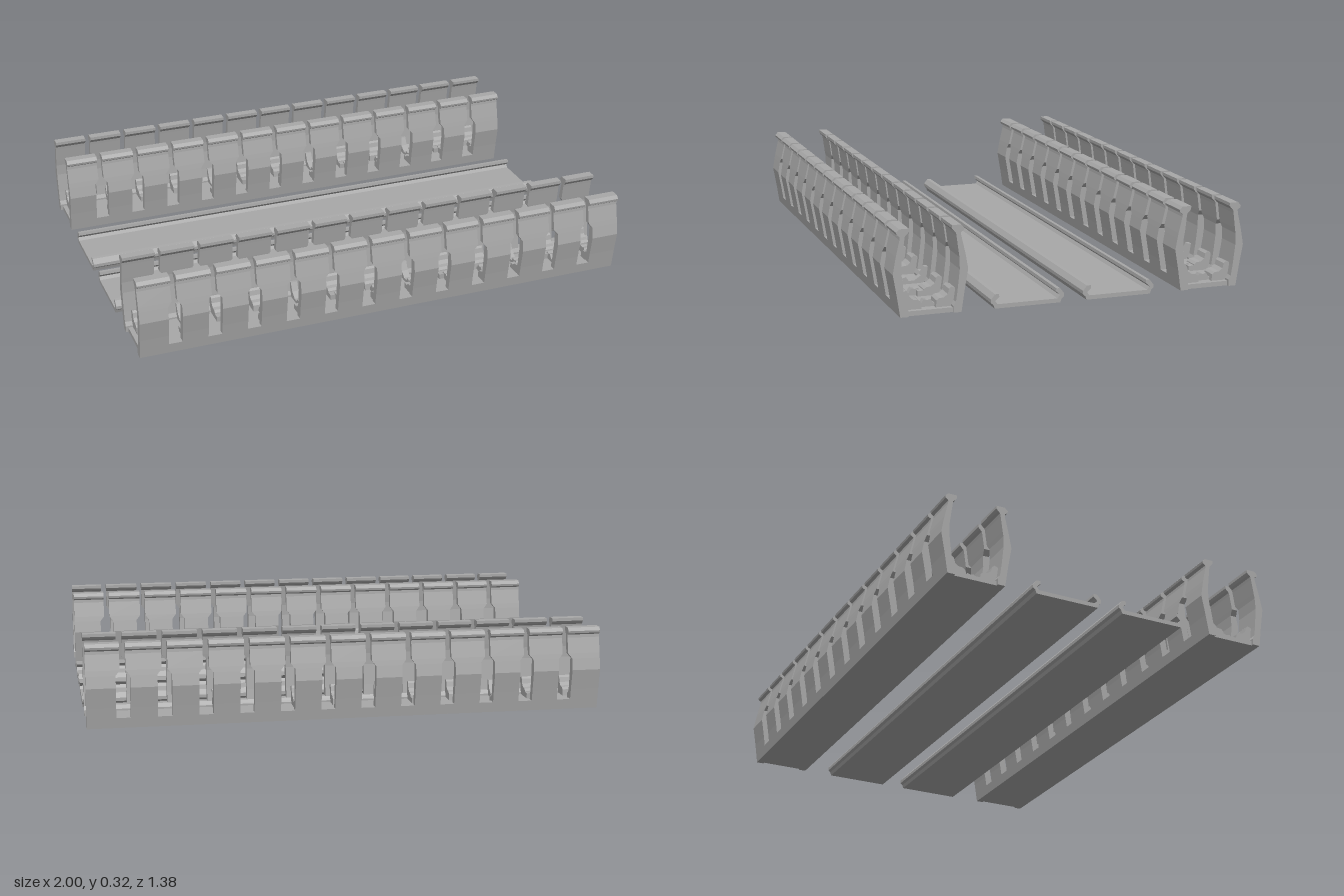
import * as THREE from 'three';

const PITCH = 0.1565, FINGERS = 13;

// Extrudes a [z, y] profile along x, centred on x = 0
function extrudeX(points, length) {
  const shape = new THREE.Shape(points.map(([z, y]) => new THREE.Vector2(z, y)));
  const g = new THREE.ExtrudeGeometry(shape, { depth: length, bevelEnabled: false });
  g.rotateY(-Math.PI / 2);
  g.translate(length / 2, 0, 0);
  return g;
}

// Closes a half profile (z >= 0) with its mirror image
function mirrored(half) {
  const other = half.filter(([z]) => z > 0).map(([z, y]) => [-z, y]).reverse();
  return [...half, ...other];
}

// Stacks rectangles { y, x0, x1, z0, z1 } from bottom to top
function stack(levels) {
  const pos = [], index = [];
  for (const { y, x0, x1, z0, z1 } of levels)
    pos.push(x0, y, z0, x0, y, z1, x1, y, z1, x1, y, z0);
  for (let j = 0; j < levels.length - 1; j++) {
    for (let i = 0; i < 4; i++) {
      const a = j * 4 + i, b = j * 4 + (i + 1) % 4;
      index.push(a, b, b + 4, a, b + 4, a + 4);
    }
  }
  const t = (levels.length - 1) * 4;
  index.push(t, t + 1, t + 2, t, t + 2, t + 3, 0, 2, 1, 0, 3, 2);
  const g = new THREE.BufferGeometry();
  g.setAttribute('position', new THREE.Float32BufferAttribute(pos, 3));
  g.setIndex(index);
  const flat = g.toNonIndexed();
  flat.computeVertexNormals();
  return flat;
}

// Finger section: height, outer offset, inner offset, half width
const FINGER = [
  [0.04, 0.121, 0.094, 0.051],
  [0.08, 0.127, 0.1, 0.051],
  [0.16, 0.141, 0.109, 0.051],
  [0.205, 0.133, 0.108, 0.051],
  [0.225, 0.129, 0.105, 0.067],
  [0.285, 0.115, 0.097, 0.067],
  [0.297, 0.114, 0.095, 0.067],
  [0.304, 0.125, 0.087, 0.067],
  [0.313, 0.127, 0.08, 0.067],
  [0.325, 0.115, 0.08, 0.067],
];

function fingerGeometry(k, side) {
  const cx = (k - (FINGERS - 1) / 2) * PITCH;
  return stack(FINGER.map(([y, outer, inner, w]) => ({
    y,
    x0: k === 0 ? -1 : cx - w,
    x1: k === FINGERS - 1 ? 1 : cx + w,
    z0: side > 0 ? inner : -outer,
    z1: side > 0 ? outer : -inner,
  })));
}

export function createModel() {
  const root = new THREE.Group();
  root.name = 'slottedCableDuctSet';
  const plastic = new THREE.MeshStandardMaterial({ color: 0xa8a8a8 });
  plastic.name = 'grey plastic';
  const add = (parent, geometry, name, x = 0) => {
    const m = new THREE.Mesh(geometry, plastic);
    m.name = name;
    m.position.x = x;
    parent.add(m);
    return m;
  };

  // Cable cradle parts
  const saddle = (s) => {
    const p = [[0.026, 0.014], [0.095, 0.014], [0.1, 0.085], [0.085, 0.09], [0.077, 0.083],
      [0.072, 0.064], [0.058, 0.053], [0.04, 0.051], [0.03, 0.043]];
    return extrudeX(p.map(([z, y]) => [s * z, y]), 0.066);
  };
  const rib = extrudeX(mirrored([[0, 0.014], [0.095, 0.014], [0.1, 0.08], [0.088, 0.08],
    [0.072, 0.048], [0.045, 0.03], [0.024, 0.03], [0.013, 0.046], [0, 0.042]]), 0.026);
  const saddles = { 1: saddle(1), '-1': saddle(-1) };
  const foot = new THREE.BoxGeometry(0.066, 0.022, 0.03);

  // Ducts
  for (const dz of [0.55, -0.55]) {
    const duct = new THREE.Group();
    duct.name = dz > 0 ? 'frontDuct' : 'rearDuct';
    duct.position.z = dz;
    root.add(duct);

    const floor = add(duct, new THREE.BoxGeometry(1.98, 0.018, 0.19), 'ductFloor');
    floor.position.y = 0.009;
    for (const s of [1, -1]) {
      const curb = [[0.085, 0], [0.115, 0], [0.121, 0.04], [0.094, 0.04], [0.085, 0.025]];
      add(duct, extrudeX(curb.map(([z, y]) => [s * z, y]), 2), 'lowerWall');
      for (let k = 0; k < FINGERS; k++) add(duct, fingerGeometry(k, s), 'wallFinger');
    }

    // Cradles cycle: both sides, front side only, rear side only
    for (let k = 0; k < FINGERS; k++) {
      const x = (k - (FINGERS - 1) / 2) * PITCH;
      add(duct, rib, 'cradleRib', x);
      for (const s of [[1, -1], [1], [-1]][k % 3]) {
        add(duct, saddles[s], 'cableSaddle', x);
        if (k % 3) add(duct, foot, 'saddleFoot', x).position.set(x, 0.028, s * 0.02);
      }
    }
  }

  // Snap-on lids with curled edges
  const lid = extrudeX(mirrored([[0, 0], [0.128, 0], [0.133, 0.014], [0.142, 0.022],
    [0.142, 0.035], [0.127, 0.054], [0.112, 0.055], [0.11, 0.043], [0.117, 0.038],
    [0.126, 0.028], [0.117, 0.016], [0, 0.016]]), 2);
  for (const z of [0.18, -0.18]) {
    add(root, lid, z > 0 ? 'frontLid' : 'rearLid').position.z = z;
  }
  return root;
}
